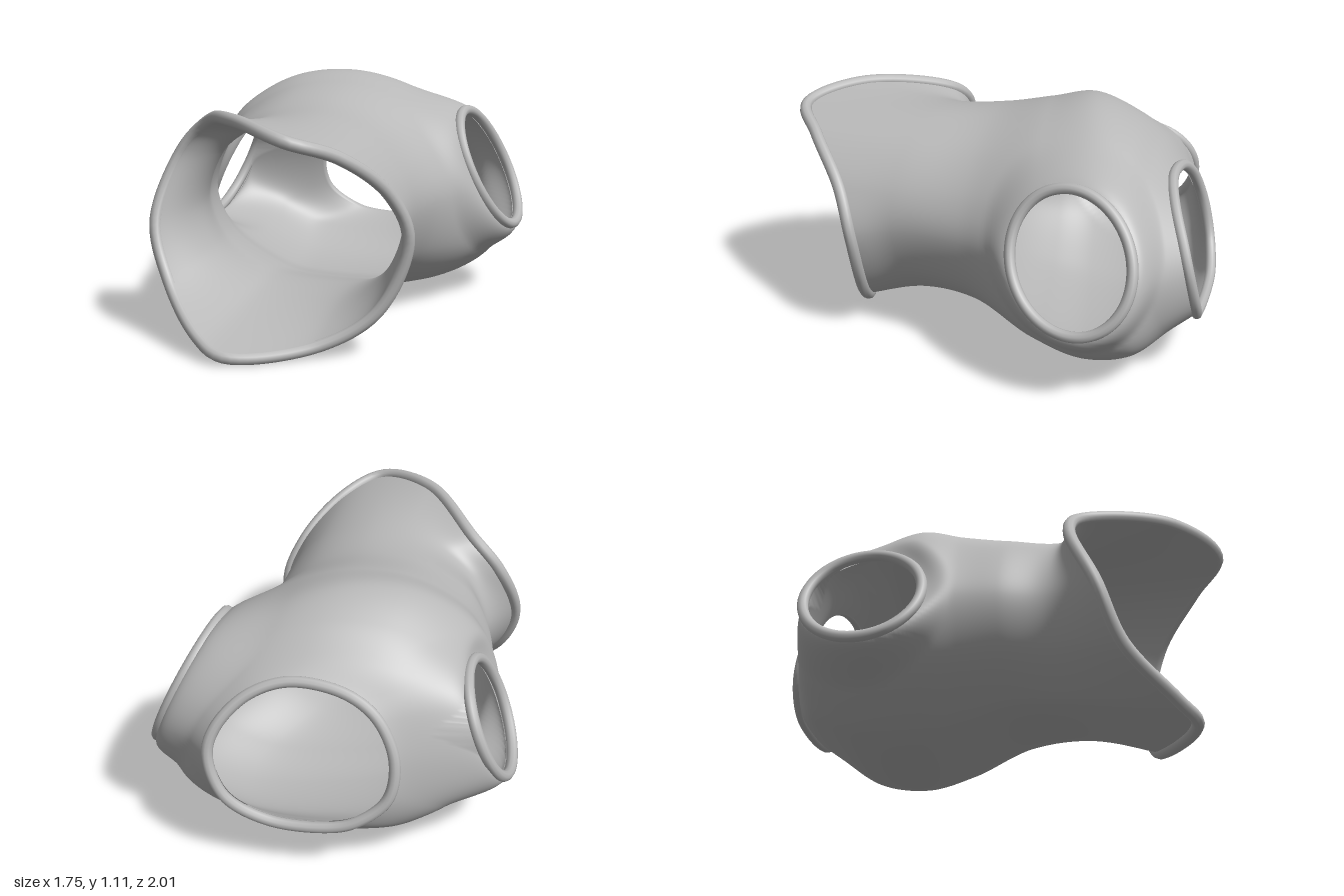
import * as THREE from 'three';

const toVectors = (list) => list.map((p) => new THREE.Vector3(...p));

// Flared front lip, counter-clockwise seen from the front
const FRONT = toVectors([
  [0.28, 0.52, 0.69], [0.2, 0.73, 0.75], [0.0, 0.91, 0.89], [-0.21, 0.99, 0.98],
  [-0.44, 1.035, 0.74], [-0.62, 0.955, 0.32], [-0.74, 0.82, 0.26], [-0.85, 0.52, 0.36],
  [-0.78, 0.27, 0.47], [-0.62, 0.085, 0.7], [-0.5, 0.033, 0.795], [-0.1, 0.05, 0.69], [0.15, 0.2, 0.67],
]);

// Wavy back lip, same order
const BACK = toVectors([
  [0.595, 0.55, -0.84], [0.56, 0.67, -0.81], [0.43, 0.8, -0.77], [0.27, 0.86, -0.76],
  [0.1, 0.855, -0.79], [-0.03, 0.81, -0.83], [-0.12, 0.73, -0.875], [-0.18, 0.57, -0.93],
  [-0.15, 0.4, -0.965], [-0.02, 0.29, -0.97], [0.1, 0.25, -0.95], [0.35, 0.255, -0.9], [0.53, 0.37, -0.88],
]);

// Elliptical sections front to back: centre, radii, z slope along x and y,
// sideways shear by height, narrowing towards the top
const SECTIONS = [
  { c: [-0.2, 0.555, 0.33], rx: 0.49, ry: 0.447, sx: 0.34, sy: 0.05, shear: 0, taper: 0 },
  { c: [-0.14, 0.565, 0.06], rx: 0.545, ry: 0.452, sx: 0.2, sy: 0, shear: -0.05, taper: 0.03 },
  { c: [-0.01, 0.567, -0.19], rx: 0.67, ry: 0.508, sx: 0.05, sy: 0, shear: -0.14, taper: 0.12 },
  { c: [0.035, 0.567, -0.4], rx: 0.73, ry: 0.543, sx: 0, sy: 0, shear: -0.18, taper: 0.15 },
  { c: [0.08, 0.547, -0.62], rx: 0.7, ry: 0.495, sx: 0.1, sy: 0.08, shear: -0.13, taper: 0.12 },
  { c: [0.09, 0.55, -0.77], rx: 0.62, ry: 0.397, sx: 0.15, sy: 0.18, shear: -0.05, taper: 0.05 },
];

const WALL = 0.027;

// Side openings: ellipse in z and y, lying on a tilted plane that gives x
const HOLES = [
  { name: 'leftArmRim', side: 1, x: 0.683, y: 0.635, z: -0.337, rz: 0.262, ry: 0.28, az: -0.35, ay: -0.46 },
  { name: 'rightArmRim', side: -1, x: -0.608, y: 0.585, z: -0.632, rz: 0.262, ry: 0.25, az: -0.22, ay: 0.42 },
];
const planeX = (h, y, z) => h.x + h.az * (z - h.z) + h.ay * (y - h.y);

function sectionCurve(s) {
  const pts = FRONT.map((p) => {
    const a = Math.atan2(p.y - 0.52, p.x + 0.3);
    const dy = s.ry * Math.sin(a);
    const dx = s.rx * Math.cos(a) * (1 - s.taper * Math.sin(a));
    return new THREE.Vector3(s.c[0] + dx + s.shear * dy, s.c[1] + dy, s.c[2] + s.sx * dx + s.sy * dy);
  });
  return new THREE.CatmullRomCurve3(pts, true);
}

function buildShell(rings, around, along) {
  const pos = [], cut = [], index = [];
  const columns = [];
  for (let j = 0; j < around; j++) {
    columns.push(new THREE.CatmullRomCurve3(rings.map((r) => r.getPoint(j / around))));
  }
  for (let i = 0; i <= along; i++) {
    for (const column of columns) {
      const p = column.getPoint(i / along);
      let inside = false;
      for (const h of HOLES) {
        const reach = THREE.MathUtils.smoothstep(p.x * h.side, 0.2, 0.5);
        const d = Math.hypot((p.z - h.z) / h.rz, (p.y - h.y) / h.ry);
        if (reach === 0 || d > 1.5) continue;
        // pull the wall to the opening plane and snap inner points to its edge
        if (d < 1 && reach > 0.3) {
          inside = true;
          const k = 1 / Math.max(d, 0.001);
          p.z = h.z + (p.z - h.z) * k;
          p.y = h.y + (p.y - h.y) * k;
        }
        const w = inside ? 1 : reach * (1 - THREE.MathUtils.smoothstep(d, 1, 1.5));
        p.x += (planeX(h, p.y, p.z) - p.x) * w;
      }
      pos.push(p.x, p.y, p.z);
      cut.push(inside);
    }
  }
  const face = (a, b, c) => {
    if (!(cut[a] && cut[b] && cut[c])) index.push(a, b, c);
  };
  for (let i = 0; i < along; i++) {
    for (let j = 0; j < around; j++) {
      const k = (j + 1) % around;
      const a = i * around + j, b = a + around, c = i * around + k, d = c + around;
      face(a, b, c);
      face(c, b, d);
    }
  }
  const geo = new THREE.BufferGeometry();
  geo.setAttribute('position', new THREE.Float32BufferAttribute(pos, 3));
  geo.setIndex(index);
  geo.computeVertexNormals();
  return geo;
}

// Copy of the wall moved inwards along its normals
function insetShell(outer, depth) {
  const geo = outer.clone();
  const p = geo.attributes.position, n = geo.attributes.normal;
  for (let i = 0; i < p.count; i++) {
    p.setXYZ(i, p.getX(i) - n.getX(i) * depth, p.getY(i) - n.getY(i) * depth, p.getZ(i) - n.getZ(i) * depth);
  }
  return geo;
}

export function createModel() {
  const group = new THREE.Group();
  group.name = 'openShell';
  const grey = new THREE.MeshStandardMaterial({ color: 0xb8b8b8, side: THREE.DoubleSide });
  grey.name = 'plainGrey';

  const add = (name, geo) => {
    const mesh = new THREE.Mesh(geo, grey);
    mesh.name = name;
    group.add(mesh);
  };
  const addRim = (name, curve, radius) => add(name, new THREE.TubeGeometry(curve, 120, radius, 10, true));

  // outer and inner wall of the body
  const frontCurve = new THREE.CatmullRomCurve3(FRONT, true);
  const backCurve = new THREE.CatmullRomCurve3(BACK, true);
  const outer = buildShell([frontCurve, ...SECTIONS.map(sectionCurve), backCurve], 180, 120);
  add('outerWall', outer);
  add('innerWall', insetShell(outer, WALL));

  // rolled rims around the four openings
  addRim('frontRim', frontCurve, 0.028);
  addRim('backRim', backCurve, 0.025);
  for (const h of HOLES) {
    const pts = [];
    for (let i = 0; i < 24; i++) {
      const a = (i / 24) * Math.PI * 2;
      const z = h.z + h.rz * Math.cos(a), y = h.y + h.ry * Math.sin(a);
      pts.push(new THREE.Vector3(planeX(h, y, z) + 0.003 * h.side, y, z));
    }
    addRim(h.name, new THREE.CatmullRomCurve3(pts, true), 0.025);
  }
  return group;
}
